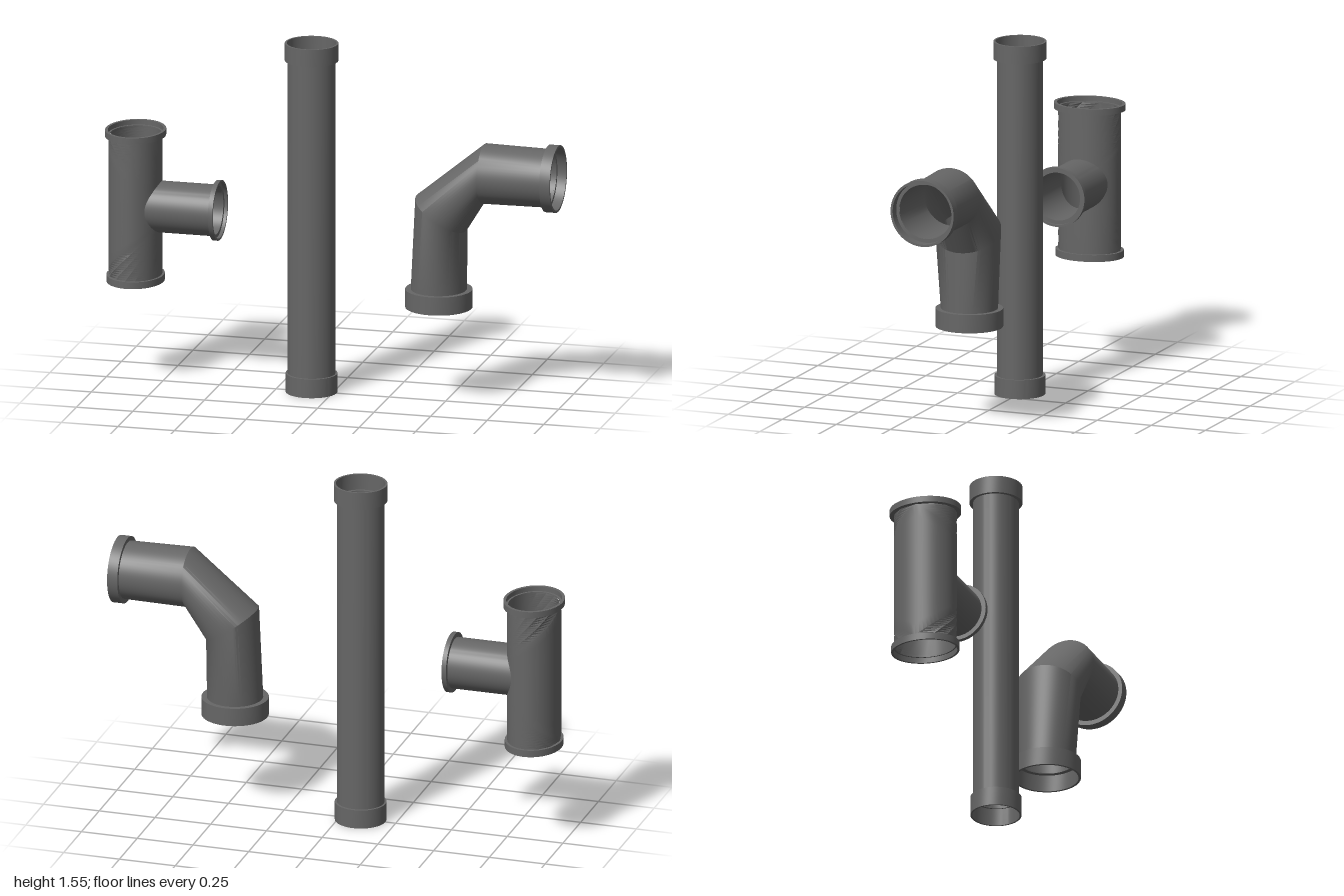
import * as THREE from 'three';
import { toCreasedNormals } from 'three/addons/utils/BufferGeometryUtils.js';

const SIDES = 64;
const darkGrey = new THREE.MeshStandardMaterial({ color: 0x666666 });
darkGrey.name = 'darkGrey';

// Skin a list of sections; each section maps an angle to a point.
function loft(name, sections, closed = true) {
  const pos = [], index = [], row = SIDES + 1;
  for (const section of sections) {
    for (let i = 0; i <= SIDES; i++) pos.push(...section((i % SIDES) / SIDES * Math.PI * 2));
  }
  const n = sections.length;
  for (let j = 0; j < (closed ? n : n - 1); j++) {
    for (let i = 0; i < SIDES; i++) {
      const a = j * row + i, b = ((j + 1) % n) * row + i;
      index.push(a, b, a + 1, a + 1, b, b + 1);
    }
  }
  const geo = new THREE.BufferGeometry();
  geo.setAttribute('position', new THREE.Float32BufferAttribute(pos, 3));
  geo.setIndex(index);
  const mesh = new THREE.Mesh(toCreasedNormals(geo, 0.5), darkGrey);
  mesh.name = name;
  return mesh;
}

// Elliptical section: centre (x, y), half axis (ux, uy) in the xy plane, w along z.
const oval = (x, y, ux, uy, w) => t =>
  [x + ux * Math.cos(t), y + uy * Math.cos(t), w * Math.sin(t)];
const upright = (x, y, [r, w]) => oval(x, y, r, 0, w);
const sideways = (x, y, [r, w]) => oval(x, y, 0, -r, w);

// Socket with a stepped bore, growing from the pipe end by a signed length.
function collar(name, horizontal, x, y, length, outer, bore, pipe) {
  const at = (s, r) => horizontal ? sideways(x + s, y, r) : upright(x, y + s, r);
  const step = 0.006 * Math.sign(length);
  const list = [at(0, outer), at(length, outer), at(length, bore),
    at(step, bore), at(step, pipe), at(0, pipe)];
  return loft(name, length < 0 ? list.reverse() : list);
}

function straightPipe() {
  const g = new THREE.Group(), x = -0.093, bore = [0.098, 0.092], wall = [0.1025, 0.097];
  g.name = 'straightPipe';
  g.add(
    loft('pipeWall', [upright(x, 0.08, wall), upright(x, 1.472, wall),
      upright(x, 1.472, bore), upright(x, 0.08, bore)]),
    collar('topCollar', false, x, 1.47, 0.077, [0.115, 0.113], [0.106, 0.104], bore),
    collar('bottomCollar', false, x, 0.083, -0.083, [0.111, 0.109], [0.104, 0.101], bore));
  return g;
}

function elbow() {
  const g = new THREE.Group();
  g.name = 'elbow';
  // Outer corner, inner corner and half width of every mitre.
  const cuts = [
    [0.35, 0.495, 0.59, 0.495, 0.123],
    [0.372, 0.906, 0.591, 0.762, 0.145],
    [0.671, 1.152, 0.671, 0.893, 0.132],
    [0.954, 1.147, 0.954, 0.896, 0.128]];
  const skin = k => cuts.map(([ax, ay, bx, by, w]) =>
    oval((ax + bx) / 2, (ay + by) / 2, k * (bx - ax) / 2, k * (by - ay) / 2, k * w));
  g.add(
    loft('elbowWall', [...skin(1), ...skin(0.95).reverse()]),
    collar('lowerCollar', false, 0.47, 0.497, -0.08, [0.144, 0.145], [0.134, 0.135], [0.114, 0.117]),
    collar('sideCollar', true, 0.952, 1.021, 0.046, [0.145, 0.146], [0.135, 0.136], [0.119, 0.122]));
  return g;
}

function tee() {
  const g = new THREE.Group(), x = -0.871, y = 0.773;
  g.name = 'tee';
  const outer = { a: 0.114, b: 0.138, r: 0.111 }, inner = { a: 0.109, b: 0.133, r: 0.105 };

  // Oval wall spread from the round branch opening to both ends and the back seam.
  const wall = (name, { a, b, r }, flip) => {
    const rings = [];
    for (let k = 0; k <= 20; k++) {
      const f = k / 20;
      rings.push(t => {
        const c = Math.cos(t), s = flip * Math.sin(t), m = Math.max(Math.abs(c), Math.abs(s));
        const angle = THREE.MathUtils.lerp(Math.asin(r * c / b), Math.PI * c / m, f);
        const h = THREE.MathUtils.lerp(y + r * s, 0.775 + 0.31 * s / m, f);
        return [x + a * Math.cos(angle), h, b * Math.sin(angle)];
      });
    }
    return loft(name, rings, false);
  };
  // Branch end that follows the oval wall.
  const saddle = ({ a, b, r }) => t => {
    const z = r * Math.sin(t);
    return [x + a * Math.sqrt(1 - (z / b) ** 2), y - r * Math.cos(t), z];
  };
  const mouth = p => sideways(-0.515, y, [p.r, p.r]);
  const bore = [inner.a, inner.b];
  g.add(
    wall('bodyOuterWall', outer, -1),
    wall('bodyInnerWall', inner, 1),
    loft('branch', [saddle(outer), mouth(outer), mouth(inner), saddle(inner)]),
    collar('topFlange', false, x, 1.083, 0.027, [0.129, 0.157], [0.117, 0.143], bore),
    collar('bottomFlange', false, x, 0.469, -0.03, [0.123, 0.15], [0.115, 0.14], bore),
    collar('branchFlange', true, -0.517, 0.774, 0.02, [0.13, 0.131], [0.121, 0.122], [0.105, 0.105]));
  return g;
}

export function createModel() {
  const model = new THREE.Group();
  model.name = 'pipeFittings';
  model.add(tee(), straightPipe(), elbow());
  return model;
}
